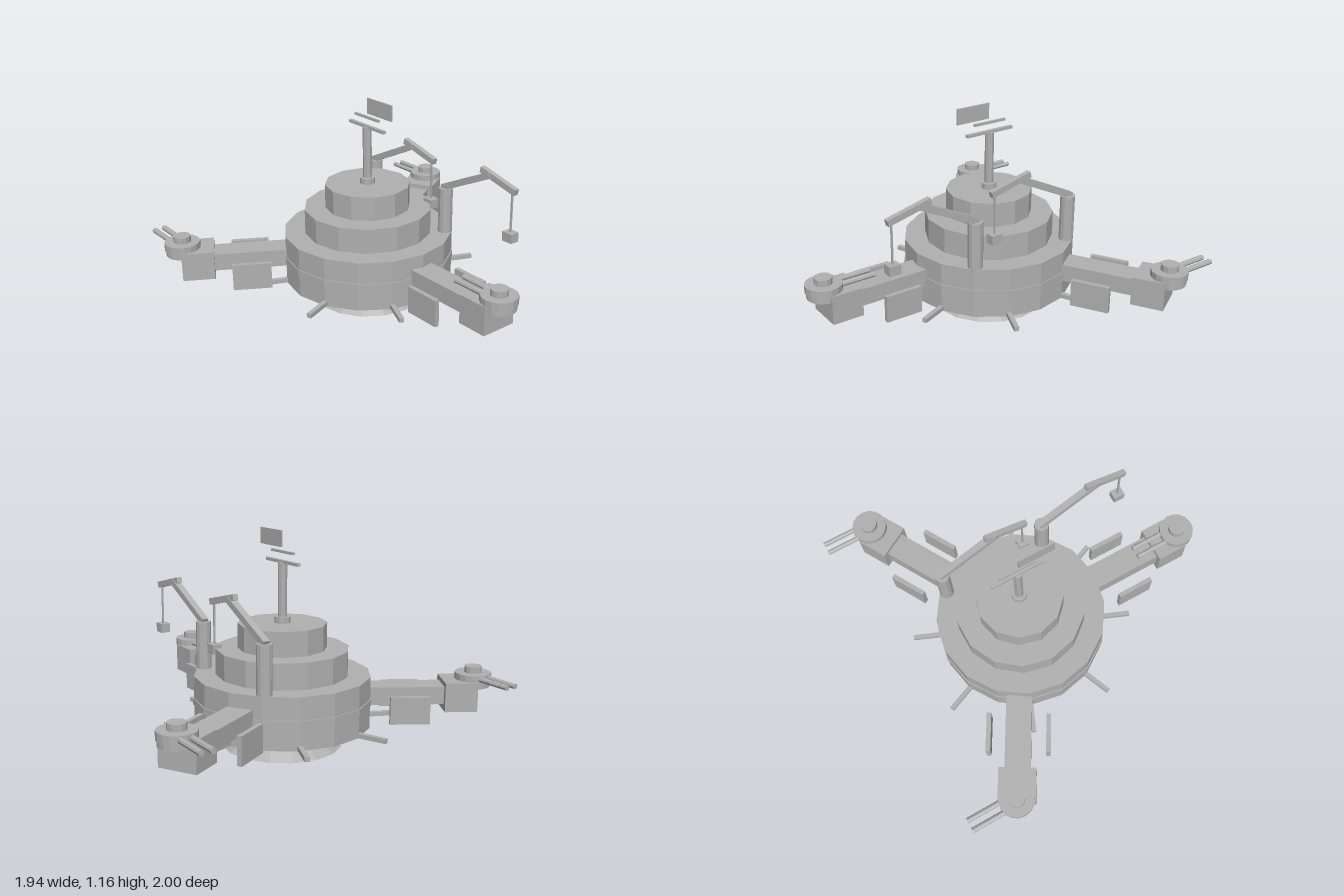
import * as THREE from 'three';

const CX = -0.174; // x of the station's central axis
const grey = new THREE.MeshStandardMaterial({ color: 0xb0b0b0, flatShading: true });
grey.name = 'hullGrey';

function mesh(name, geometry, parent, x, y, z) {
  const m = new THREE.Mesh(geometry, grey);
  m.name = name;
  m.position.set(x, y, z);
  parent.add(m);
  return m;
}

// Box centred on x and z, spanning y0 to y1
function box(name, parent, w, d, y0, y1, x = 0, z = 0) {
  return mesh(name, new THREE.BoxGeometry(w, y1 - y0, d), parent, x, (y0 + y1) / 2, z);
}

// Upright cylinder or cone spanning y0 to y1
function drum(name, parent, rTop, rBottom, sides, y0, y1, x = 0, z = 0) {
  return mesh(name, new THREE.CylinderGeometry(rTop, rBottom, y1 - y0, sides), parent, x, (y0 + y1) / 2, z);
}

// Square bar between two points in the xy plane
function bar(name, parent, [x0, y0], [x1, y1], thick, depth) {
  const geo = new THREE.BoxGeometry(Math.hypot(x1 - x0, y1 - y0), thick, depth);
  const m = mesh(name, geo, parent, (x0 + x1) / 2, (y0 + y1) / 2, 0);
  m.rotation.z = Math.atan2(y1 - y0, x1 - x0);
  return m;
}

function group(name, parent, x = 0, z = 0) {
  const g = new THREE.Group();
  g.name = name;
  g.position.set(x, 0, z);
  parent.add(g);
  return g;
}

// Tiered hull, foot and docking spokes
function addHull(root) {
  const hull = group('hull', root, CX);
  drum('foot', hull, 0.18, 0.325, 16, 0, 0.12);
  drum('mainTier', hull, 0.478, 0.478, 16, 0.12, 0.4);
  drum('beltRing', hull, 0.484, 0.484, 16, 0.242, 0.278);
  drum('middleTier', hull, 0.36, 0.36, 14, 0.4, 0.54);
  drum('upperTier', hull, 0.24, 0.24, 12, 0.54, 0.675);
  for (let i = 0; i < 8; i++) {
    const spoke = group('dockingSpoke', hull);
    spoke.rotation.y = (i + 0.5) * Math.PI / 4;
    box('spokeBar', spoke, 0.2, 0.026, 0.125, 0.149, 0.54);
  }
}

// Antenna mast with crossbars and panel
function addMast(root) {
  const mast = group('mast', root, CX);
  drum('mastBase', mast, 0.043, 0.043, 10, 0.675, 0.708);
  drum('mastPole', mast, 0.025, 0.025, 8, 0.7, 1.0);
  box('lowerCrossbar', mast, 0.3, 0.02, 0.993, 1.009);
  box('upperCrossbar', mast, 0.205, 0.014, 1.047, 1.06);
  box('antennaPanel', mast, 0.207, 0.008, 1.076, 1.164, 0.11);
}

// Radial arm with end block, side plates and a gun turret facing -x
function addArm(root, angle) {
  const arm = group('arm', root, CX);
  arm.rotation.y = angle;
  box('armBeam', arm, 0.5, 0.143, 0.23, 0.327, 0.65);
  box('endBlock', arm, 0.176, 0.206, 0.194, 0.354, 0.958);
  for (const side of [-1, 1]) box('sidePlate', arm, 0.212, 0.026, 0.153, 0.302, 0.668, side * 0.166);

  const d = 1.04;
  const turret = group('turret', root, CX + d * Math.cos(angle), -d * Math.sin(angle));
  drum('turretBase', turret, 0.092, 0.092, 16, 0.315, 0.345);
  drum('turretHead', turret, 0.098, 0.098, 16, 0.345, 0.39);
  drum('turretCap', turret, 0.048, 0.048, 12, 0.39, 0.425);
  for (const side of [-1, 1]) {
    const barrel = mesh('barrel', new THREE.CylinderGeometry(0.015, 0.015, 0.23, 8), turret, -0.165, 0.37, side * 0.029);
    barrel.rotation.z = Math.PI / 2;
  }
}

// Jointed cargo crane
function addCrane(root, x) {
  const crane = group('crane', root, x, -0.31);
  drum('cranePost', crane, 0.041, 0.041, 12, 0.4, 0.66);
  bar('lowerBoom', crane, [-0.015, 0.66], [0.345, 0.833], 0.036, 0.037);
  bar('upperBoom', crane, [0.275, 0.847], [0.524, 0.786], 0.034, 0.03);
  box('cable', crane, 0.009, 0.009, 0.55, 0.79, 0.498);
  box('cargoHook', crane, 0.066, 0.054, 0.508, 0.56, 0.498);
}

export function createModel() {
  const root = new THREE.Group();
  root.name = 'station';
  addHull(root);
  addMast(root);
  for (let i = 0; i < 3; i++) addArm(root, i * Math.PI * 2 / 3);
  addCrane(root, -0.484);
  addCrane(root, 0.136);
  return root;
}
